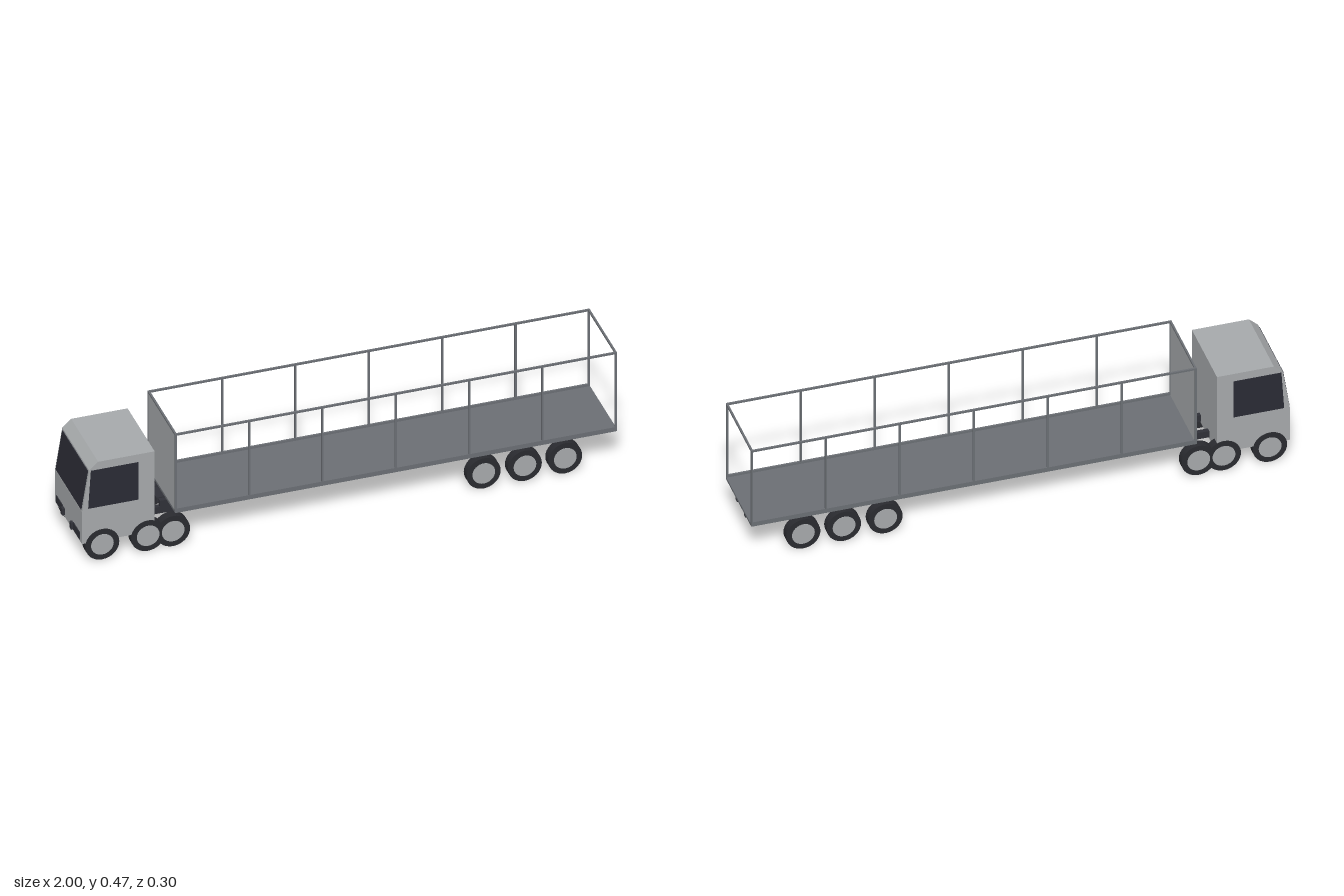
import * as THREE from 'three';

const mat = (name, color, side = THREE.FrontSide) => {
  const m = new THREE.MeshStandardMaterial({ color, side });
  m.name = name;
  return m;
};

export function createModel() {
  const root = new THREE.Group();
  root.name = 'semiTruck';
  const paint = mat('lightGreyPaint', 0xa6a9ab);
  const steel = mat('greySteel', 0x6b6f74);
  const dark = mat('darkChassis', 0x303138);
  const glass = mat('darkGlass', 0x2a2b34);
  const rubber = mat('blackRubber', 0x2a2b30);

  const add = (parent, name, geo, material) => {
    const m = new THREE.Mesh(geo, material);
    m.name = name;
    parent.add(m);
    return m;
  };
  // Box given by its minimum and maximum corners
  const box = (parent, name, material, x0, x1, y0, y1, z0, z1) => {
    const m = add(parent, name, new THREE.BoxGeometry(x1 - x0, y1 - y0, z1 - z0), material);
    m.position.set((x0 + x1) / 2, (y0 + y1) / 2, (z0 + z1) / 2);
    return m;
  };
  // Side profile extruded across z
  const slab = (parent, name, material, points, z0, z1) => {
    const shape = new THREE.Shape(points.map(([x, y]) => new THREE.Vector2(x, y)));
    const geo = new THREE.ExtrudeGeometry(shape, { depth: z1 - z0, bevelEnabled: false });
    geo.translate(0, 0, z0);
    return add(parent, name, geo, material);
  };

  // Tractor cab with raked front and glazing
  const tractor = new THREE.Group();
  tractor.name = 'tractor';
  root.add(tractor);
  slab(tractor, 'cab', paint, [
    [-0.99, 0.078], [-0.72, 0.078], [-0.72, 0.41], [-0.93, 0.41], [-0.963, 0.38], [-0.99, 0.21],
  ], -0.147, 0.147);
  slab(tractor, 'windscreen', glass, [
    [-0.991, 0.217], [-0.985, 0.217], [-0.961, 0.374], [-0.967, 0.374],
  ], -0.138, 0.138);
  for (const s of [-1, 1]) {
    const z = s * 0.1475;
    slab(tractor, 'sideWindow', glass, [
      [-0.967, 0.222], [-0.78, 0.222], [-0.78, 0.378], [-0.957, 0.378],
    ], z - 0.0015, z + 0.0015);
    // Tractor frame rails poke out ahead of the cab
    const r = s * 0.049;
    box(tractor, 'tractorRail', dark, -1, -0.6, 0.085, 0.112, r - 0.0085, r + 0.0085);
    box(tractor, 'lowerGrille', dark, -0.993, -0.988, 0.085, 0.115, s * 0.092 - 0.035, s * 0.092 + 0.035);
  }
  box(tractor, 'couplingPlate', dark, -0.675, -0.58, 0.117, 0.137, -0.034, 0.034);

  // Trailer bed, rails and headboard
  const trailer = new THREE.Group();
  trailer.name = 'trailer';
  root.add(trailer);
  const front = -0.645, rear = 0.997, half = 0.15, top = 0.467, t = 0.007;
  box(trailer, 'bed', steel, front, rear, 0.137, 0.146, -half, half);
  box(trailer, 'headboard', paint, front + 0.001, front + 0.006, 0.146, top - t, -half + t, half - t);
  for (const s of [-1, 1]) {
    const r = s * 0.049;
    box(trailer, 'trailerRail', dark, -0.67, 0.99, 0.11, 0.137, r - 0.0085, r + 0.0085);
    const z0 = s > 0 ? half - t : -half, z1 = z0 + t;
    box(trailer, 'bedSideRail', steel, front, rear, 0.146, 0.155, z0, z1);
    box(trailer, 'topRail', steel, front, rear, top - t, top, z0, z1);
    // Seven evenly spaced posts per side
    for (let i = 0; i < 7; i++) {
      const x = front + (rear - front - t) * i / 6;
      box(trailer, 'post', steel, x, x + t, 0.155, top - t, z0, z1);
    }
  }
  for (const x of [front, rear - t]) {
    box(trailer, 'topCrossRail', steel, x, x + t, top - t, top, -half + t, half - t);
  }

  // Wheels with pale discs on the outer faces
  const tyreGeo = new THREE.CylinderGeometry(0.063, 0.063, 0.033, 32).rotateX(Math.PI / 2);
  const hubGeo = new THREE.CylinderGeometry(0.042, 0.042, 0.002, 32).rotateX(Math.PI / 2);
  for (const x of [-0.915, -0.745, -0.652, 0.502, 0.655, 0.805]) {
    for (const s of [-1, 1]) {
      const wheel = new THREE.Group();
      wheel.name = 'wheel';
      wheel.position.set(x, 0.063, s * 0.1325);
      add(wheel, 'tyre', tyreGeo, rubber);
      add(wheel, 'hubDisc', hubGeo, paint).position.z = s * 0.0166;
      root.add(wheel);
    }
  }
  return root;
}
